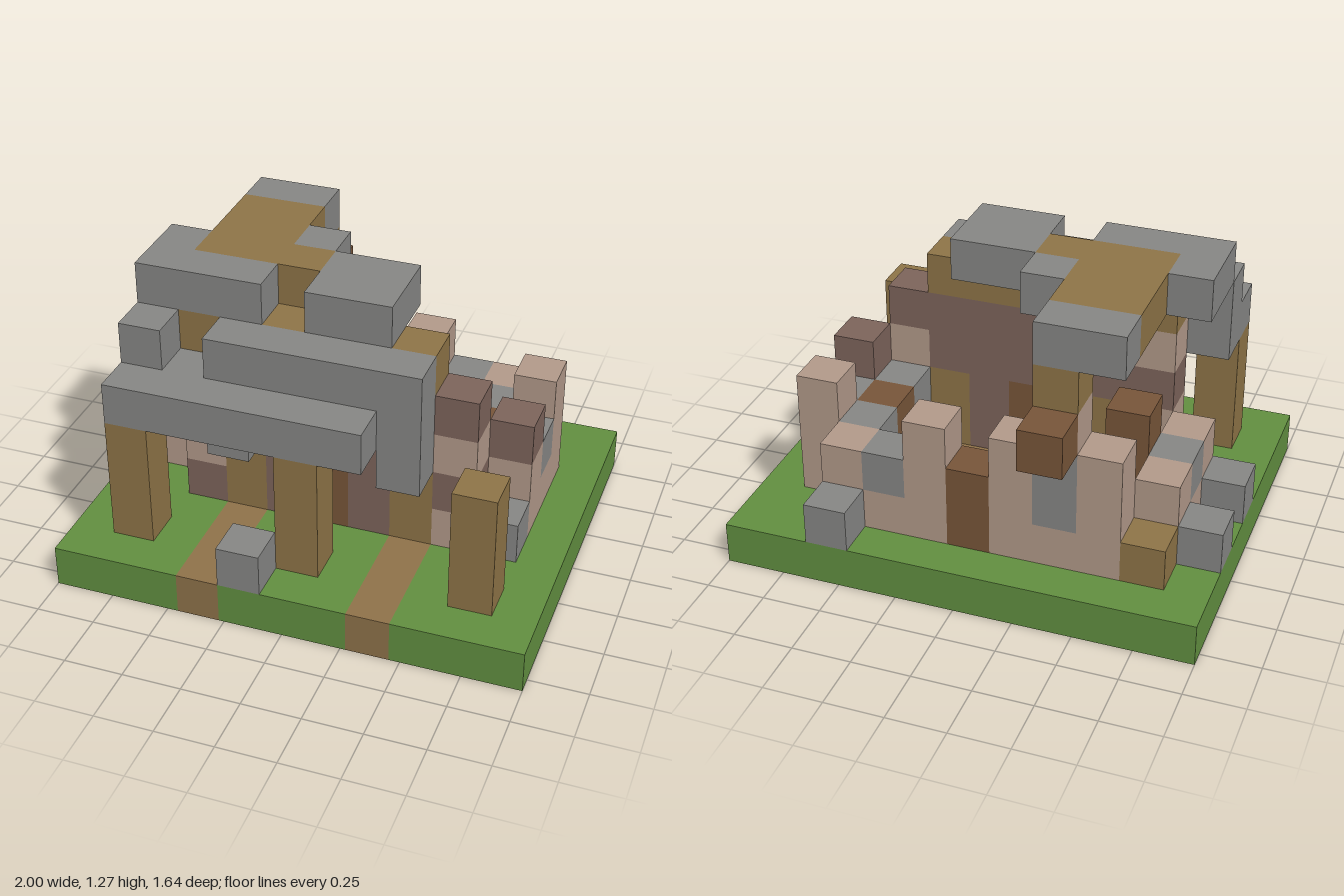
import * as THREE from 'three';

const U = 2 / 11; // edge of one block
const paint = (name, color) => {
  const m = new THREE.MeshStandardMaterial({ color });
  m.name = name;
  return m;
};

export function createModel() {
  const model = new THREE.Group();
  model.name = 'blockRuin';
  const grass = paint('grass', 0x639141);
  const stone = paint('stone', 0x888886);
  const timber = paint('timber', 0x8f7548);
  const dirt = paint('dirt', 0x90734a);
  const pale = paint('paleBrick', 0xb49b8b);
  const dark = paint('darkBrick', 0x7e655c);
  const wood = paint('darkWood', 0x79563a);

  // Box covering inclusive block ranges; each range is a number or [from, to]
  const block = (name, mat, x, y, z) => {
    const [a, b, c] = [x, y, z].map(r => (Array.isArray(r) ? r : [r, r]));
    const size = r => (r[1] - r[0] + 1) * U;
    const mid = r => (r[0] + r[1]) / 2;
    const mesh = new THREE.Mesh(new THREE.BoxGeometry(size(a), size(b), size(c)), mat);
    mesh.position.set((mid(a) - 5) * U, (mid(b) + 0.5) * U, (mid(c) - 4) * U);
    mesh.name = name;
    model.add(mesh);
  };
  // Column of single blocks from the ground up, one letter per block
  const letters = { s: stone, t: timber, p: pale, m: dark, w: wood, g: grass, d: dirt };
  const column = (name, x, z, code, base = 1) => {
    [...code].forEach((ch, n) => { if (ch !== ' ') block(name, letters[ch], x, base + n, z); });
  };

  // Ground: grass, dirt paths and floor, wooden foundations
  const ground = [
    'ggggggggggg',
    'ggwwwwwwwgg',
    'gwdddddddwg',
    'gwdddddddwg',
    'gwdddddddwg',
    'ggwdwwwdwgg',
    'gggdgggdggg',
    'gggdgggdggg',
    'gggdgggdggg',
  ];
  const groundNames = { g: 'grassGround', w: 'foundation', d: 'dirtPath' };
  ground.forEach((row, z) => {
    for (const run of row.matchAll(/g+|w+|d+/g)) {
      const ch = run[0][0];
      block(groundNames[ch], letters[ch], [run.index, run.index + run[0].length - 1], 0, z);
    }
  });

  // Front wall with two doors
  column('frontWall', 2, 5, 'mpmp');
  column('frontWall', 4, 5, 'mmmm');
  column('frontWall', 5, 5, 'wwmm');
  column('frontWall', 6, 5, 'mmmm');
  column('frontWall', 8, 5, 'pmpm');
  for (const x of [3, 7]) {
    block('door', timber, x, [1, 2], 5);
    block('doorHead', dark, x, [3, 4], 5);
  }
  block('wallPlate', timber, [2, 7], 5, 5);

  // Broken back wall
  ['ppp', 'pssp', 'ppp', 'ww', 'ppp', 'ps', 'pp'].forEach((code, n) => column('backWall', n + 2, 1, code));
  block('roofPost', timber, 3, 5, 1);
  block('wallBracket', wood, 3, 4, 0);

  // Side walls
  ['pp', 'ps', 'pp'].forEach((code, n) => column('rightWall', 1, n + 2, code));
  ['ppp', 'ps', 'ppm'].forEach((code, n) => column('leftWall', 9, n + 2, code));

  // Furnishings inside
  block('shelf', wood, 2, [1, 3], 3);
  block('bench', stone, [4, 6], 1, 2);
  column('cupboard', 8, 2, 'ss');
  column('cupboard', 8, 3, 'ww');
  column('cupboard', 8, 4, 'ss');

  // Porch posts and stepped stone eaves
  for (const x of [1, 5, 9]) block('porchPost', timber, x, [1, 3], 7);
  block('lowerEave', stone, [1, 6], 4, 7);
  block('middleEave', stone, [1, 7], 4, 6);
  block('upperEave', stone, [3, 7], 5, 6);
  block('upperEave', stone, 1, 5, 6);
  for (const x of [3, 7]) block('eaveDrop', stone, x, 3, 6);

  // Roof top: stone edges around timber
  block('roofEdge', stone, [2, 3], 6, 1);
  block('roofDeck', timber, [2, 3], 6, [2, 4]);
  block('roofDeck', timber, 4, 6, 4);
  block('roofEdge', stone, 4, 6, 3);
  block('roofEdge', stone, 1, 6, [4, 5]);
  block('roofEdge', stone, [2, 3], 6, 5);
  block('roofEdge', stone, [5, 6], 6, [4, 5]);

  // Fallen blocks around the house
  for (const [x, z] of [[0, 2], [0, 4], [4, 8], [8, 0], [9, 5]]) block('fallenStone', stone, x, 1, z);
  block('fallenTimber', timber, 1, 1, 1);

  return model;
}
